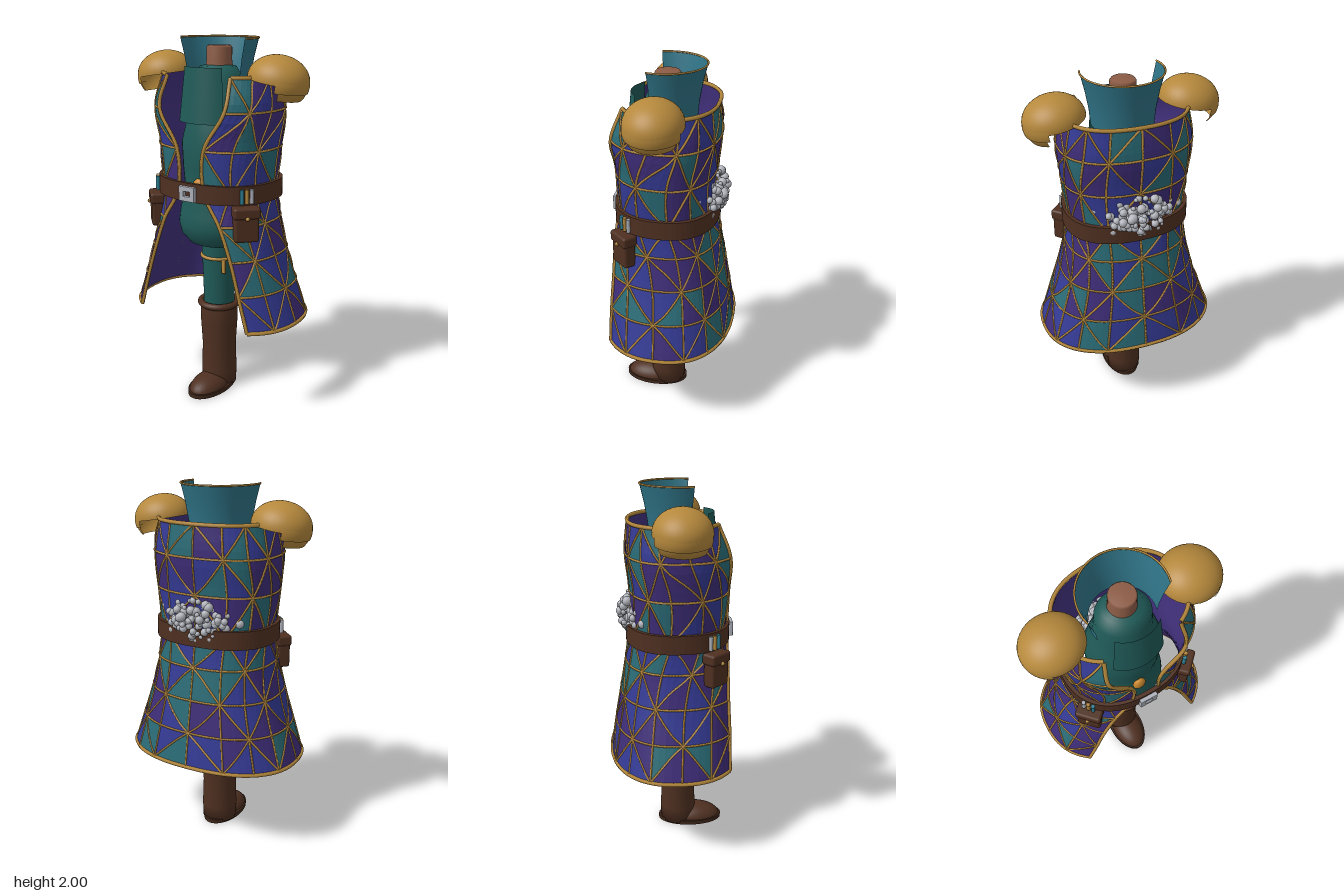
import * as THREE from 'three';
import { mergeGeometries } from 'three/addons/utils/BufferGeometryUtils.js';
import { RoundedBoxGeometry } from 'three/addons/geometries/RoundedBoxGeometry.js';

const mat = (color, side = THREE.FrontSide) => new THREE.MeshStandardMaterial({ color, side });
const GOLD = mat(0xb5883c), BROWN = mat(0x4f3021), DARK = mat(0x3f271a), TEAL = mat(0x1f5a57);
const SKIN = mat(0x8c5c46), SILVER = mat(0xaeb1ba), VIAL = mat(0x2f8094), LINING = mat(0x43327f);
const COLLAR = mat(0x2f7386, THREE.DoubleSide), BIB = mat(0x1f5a57, THREE.DoubleSide);
const PADS = mat(0xb5883c, THREE.DoubleSide);
const PANES = [mat(0x3e2d78), mat(0x343a94), mat(0x2a6b76)];
const V = (x, y, z) => new THREE.Vector3(x, y, z);

function seeded(seed) {
  return () => {
    seed = (seed * 16807) % 2147483647;
    return seed / 2147483647;
  };
}

function add(parent, name, geometry, material, x = 0, y = 0, z = 0) {
  const mesh = new THREE.Mesh(geometry, material);
  mesh.name = name;
  mesh.position.set(x, y, z);
  parent.add(mesh);
  return mesh;
}

const lathe = (pts, ...arc) => new THREE.LatheGeometry(pts.map(p => new THREE.Vector2(...p)), 40, ...arc);
const tube = (pts, r, sides = 6) =>
  new THREE.TubeGeometry(new THREE.CatmullRomCurve3(pts), pts.length * 2, r, sides);

// Squarish oval: angle 0 is the back, PI the front
const POWER = 0.86, MID = 0.02;
function oval(a, w, zb, zf) {
  const c = Math.cos(a), k = Math.pow(Math.abs(c), POWER);
  return [w * Math.sign(Math.sin(a)) * Math.pow(Math.abs(Math.sin(a)), POWER),
    MID + (c > 0 ? (zb - MID) * k : (zf - MID) * k)];
}

// Coat rings from hem to shoulder: y, half width, back z, front z, half opening
const RINGS = [
  [0.50, 0.500, -0.34, 0.305, 0.36], [0.69, 0.435, -0.31, 0.305, 0.305], [0.87, 0.375, -0.28, 0.30, 0.25],
  [1.05, 0.335, -0.25, 0.30, 0.18], [1.22, 0.320, -0.23, 0.30, 0.085], [1.44, 0.340, -0.225, 0.305, 0.085],
  [1.64, 0.355, -0.245, 0.295, 0.205], [1.81, 0.325, -0.23, 0.23, 0.20]];
const ROWS = RINGS.length - 1, COLS = 12;
const ringA = new THREE.CatmullRomCurve3(RINGS.map(r => V(r[1], r[0], r[4])), false, 'catmullrom');
const ringB = new THREE.CatmullRomCurve3(RINGS.map(r => V(r[2], r[0], r[3])), false, 'catmullrom');

// Coat surface: col 0..COLS runs round the back, row 0..ROWS runs upwards
function coatPoint(col, row, inset = 0) {
  const A = ringA.getPoint(row / ROWS), B = ringB.getPoint(row / ROWS);
  const aMax = Math.PI - Math.asin(Math.pow(A.z / A.x, 1 / POWER));
  const front = MID + (B.z - MID) / Math.pow(Math.abs(Math.cos(aMax)), POWER);
  const [x, z] = oval((col / COLS * 2 - 1) * aMax, A.x - inset, B.x + inset, front - inset);
  return V(x, A.y, z);
}

// Curved triangle on the coat, subdivided n times
function pane(a, b, c, n = 4) {
  const pos = [];
  const at = (i, j) => {
    const k = n - i - j, mix = d => (a[d] * k + b[d] * i + c[d] * j) / n;
    pos.push(...coatPoint(mix(0), mix(1)).toArray());
  };
  for (let i = 0; i < n; i++) for (let j = 0; j < n - i; j++) {
    at(i, j); at(i + 1, j); at(i, j + 1);
    if (i + j < n - 1) { at(i + 1, j); at(i + 1, j + 1); at(i, j + 1); }
  }
  const g = new THREE.BufferGeometry();
  g.setAttribute('position', new THREE.Float32BufferAttribute(pos, 3));
  g.computeVertexNormals();
  return g;
}

function seam(a, b, r, steps = 4) {
  const pts = [];
  for (let i = 0; i <= steps; i++) {
    const t = i / steps;
    pts.push(coatPoint(a[0] + (b[0] - a[0]) * t, a[1] + (b[1] - a[1]) * t));
  }
  return tube(pts, r, 5);
}

function buildCoat() {
  const coat = new THREE.Group();
  coat.name = 'coat';
  const sets = [[], [], []], seams = [], rand = seeded(77);
  const pick = () => { const r = rand(); return r < 0.4 ? 0 : r < 0.72 ? 1 : 2; };
  for (let i = 0; i < COLS; i++) for (let j = 0; j < ROWS; j++) {
    const p = [i, j], q = [i + 1, j], r = [i + 1, j + 1], s = [i, j + 1];
    // columns run from the right front round the back to the left front
    const tris = (i + j) % 2 ? [[p, r, q], [p, s, r]] : [[p, s, q], [q, s, r]];
    tris.forEach(t => sets[pick()].push(pane(t[0], t[2], t[1])));
    seams.push((i + j) % 2 ? seam(p, r, 0.006) : seam(q, s, 0.006));
    if (j) seams.push(seam(p, q, 0.006));
    if (i) seams.push(seam(p, s, 0.006));
  }
  // the panes are wound so that they face outwards
  const names = ['purplePanes', 'bluePanes', 'tealPanes'];
  sets.forEach((g, k) => add(coat, names[k], faceOut(mergeGeometries(g), 1), PANES[k]));
  add(coat, 'goldSeams', mergeGeometries(seams), GOLD);

  // Lining just inside the panes
  const NU = 48, NV = 28, pos = [], idx = [];
  for (let j = 0; j <= NV; j++) for (let i = 0; i <= NU; i++)
    pos.push(...coatPoint(i / NU * COLS, j / NV * ROWS, 0.006).toArray());
  for (let j = 0; j < NV; j++) for (let i = 0; i < NU; i++) {
    const a = j * (NU + 1) + i, b = a + NU + 1;
    idx.push(a, a + 1, b, a + 1, b + 1, b);
  }
  let lining = new THREE.BufferGeometry();
  lining.setAttribute('position', new THREE.Float32BufferAttribute(pos, 3));
  lining.setIndex(idx);
  lining = faceOut(lining, -1);
  add(coat, 'coatLining', lining, LINING);

  // Thicker gold trim round the border
  const trim = [[[0, 0], [COLS, 0]], [[0, ROWS], [COLS, ROWS]], [[0, 0], [0, ROWS]], [[COLS, 0], [COLS, ROWS]]];
  add(coat, 'goldTrim', mergeGeometries(trim.map(([a, b]) => seam(a, b, 0.011, 36))), GOLD);
  return coat;
}

// Make a wall's triangles face away from (dir 1) or towards (dir -1) the vertical axis
function faceOut(g, dir) {
  const p = g.getAttribute('position');
  const order = g.index ? Array.from(g.index.array) : Array.from({ length: p.count }, (_, i) => i);
  const [a, b, c] = [0, 1, 2].map(k => new THREE.Vector3());
  for (let i = 0; i < order.length; i += 3) {
    [a, b, c].forEach((v, k) => v.fromBufferAttribute(p, order[i + k]));
    const n = b.clone().sub(a).cross(c.clone().sub(a));
    if ((n.x * a.x + n.z * (a.z - MID)) * dir < 0) [order[i + 1], order[i + 2]] = [order[i + 2], order[i + 1]];
  }
  g.setIndex(order);
  g.computeVertexNormals();
  return g;
}

function buildBelt() {
  const belt = new THREE.Group();
  belt.name = 'belt';
  const loop = off => Array.from({ length: 72 }, (_, i) => {
    const [x, z] = oval(i / 36 * Math.PI, 0.343 - off, -0.248 + off, 0.322 - off);
    return new THREE.Vector2(x, -z);
  });
  const shape = new THREE.Shape(loop(0));
  shape.holes.push(new THREE.Path(loop(0.022)));
  const strap = new THREE.ExtrudeGeometry(shape, { depth: 0.1, bevelEnabled: false });
  add(belt, 'beltStrap', strap.rotateX(-Math.PI / 2), BROWN, 0, 1.167, 0);
  // Square buckle
  const frame = new THREE.Shape([[-.045, -.035], [.045, -.035], [.045, .035], [-.045, .035]].map(p => new THREE.Vector2(...p)));
  frame.holes.push(new THREE.Path([[-.025, -.018], [-.025, .018], [.025, .018], [.025, -.018]].map(p => new THREE.Vector2(...p))));
  add(belt, 'buckle', new THREE.ExtrudeGeometry(frame, { depth: 0.014, bevelSize: 0.005, bevelThickness: 0.005, bevelSegments: 2 }), SILVER, 0, 1.212, 0.325);
  for (const s of [-1, 1]) {
    // Pouch with flap and stud
    const pouch = new THREE.Group();
    pouch.name = s > 0 ? 'leftPouch' : 'rightPouch';
    pouch.position.set(s * 0.295, 1.07, 0.225);
    pouch.rotation.y = s * 0.8;
    add(pouch, 'pouchBody', new RoundedBoxGeometry(0.13, 0.16, 0.07, 3, 0.014), BROWN, 0, -0.01, 0);
    add(pouch, 'pouchFlap', new RoundedBoxGeometry(0.142, 0.06, 0.084, 3, 0.014), BROWN, 0, 0.065, 0);
    add(pouch, 'pouchStud', new THREE.SphereGeometry(0.011, 12, 8), GOLD, 0, 0.04, 0.043);
    belt.add(pouch);
    // Small vials tucked in the belt
    [VIAL, GOLD, SILVER].forEach((m, i) => {
      const [x, z] = oval(Math.PI - s * (0.86 + i * 0.09), 0.352, -0.25, 0.332);
      add(belt, 'vial', new THREE.CylinderGeometry(0.011, 0.011, 0.075, 10), m, x, 1.215, z);
    });
  }
  return belt;
}

// Domed shoulder guard with two overlapping plates on its outer side
function buildShoulder(s) {
  const g = new THREE.Group();
  g.name = s > 0 ? 'leftShoulderGuard' : 'rightShoulderGuard';
  g.position.set(s * 0.362, 1.795, 0.04);
  g.rotation.z = -s * 0.16;
  add(g, 'dome', new THREE.SphereGeometry(1, 36, 14, 0, Math.PI * 2, 0, 1.62), PADS).scale.set(0.162, 0.125, 0.152);
  [[0.163, 1.4, 0.4], [0.157, 1.72, 0.4]].forEach(([r, start, len], i) => {
    const from = (s > 0 ? Math.PI : 0) - 1.15 + i * 0.12;
    const plate = add(g, 'plate', new THREE.SphereGeometry(1, 24, 5, from, 2.3 - i * 0.24, start, len), PADS, 0, -0.012, 0);
    plate.scale.set(r, 0.135, r - 0.008);
  });
  return g;
}

export function createModel() {
  const model = new THREE.Group();
  model.name = 'armouredCoatFigure';
  model.add(buildCoat(), buildBelt(), buildShoulder(1), buildShoulder(-1));

  // Body, neck and chest panel
  add(model, 'torso', lathe([[0, .86], [.08, .865], [.17, .89], [.215, .94], [.228, 1], [.22, 1.06], [.19, 1.2], [.2, 1.32],
    [.205, 1.45], [.175, 1.57], [.15, 1.66], [.14, 1.78], [.1, 1.85], [0, 1.87]]), TEAL, 0, 0, 0.05).scale.z = 0.9;
  add(model, 'neck', lathe([[.078, 1.8], [.068, 1.88], [.068, 1.945], [.06, 1.956], [0, 1.957]]), SKIN, 0, 0, 0.04);
  add(model, 'chestPanel', new THREE.CylinderGeometry(0.18, 0.212, 0.285, 20, 1, true, -0.72, 1.44), BIB, 0, 1.71, 0.05);
  add(model, 'waistGem', new THREE.SphereGeometry(1, 20, 14), mat(0xc8862c), 0, 1.225, 0.235).scale.set(0.036, 0.05, 0.022);

  // Standing collar, open at the front, with a gold rim
  const start = 1.29, span = Math.PI * 2 - start * 2;
  add(model, 'collar', lathe([[.165, 1.72], [.172, 1.8], [.19, 1.9], [.213, 1.995]], start, span), COLLAR, 0, 0, 0.05);
  const rim = Array.from({ length: 33 }, (_, i) => {
    const a = start + span * i / 32;
    return V(0.213 * Math.sin(a), 1.995, 0.213 * Math.cos(a));
  });
  add(model, 'collarRim', tube(rim, 0.005), GOLD, 0, 0, 0.05);

  // Single leg with strap, and boot
  add(model, 'leg', lathe([[.088, .5], [.09, .65], [.096, .8], [.1, .92]]), TEAL, 0, 0, 0.045);
  add(model, 'legStrap', new THREE.TorusGeometry(0.098, 0.01, 8, 36).rotateX(Math.PI / 2), GOLD, 0, 0.8, 0.045);
  add(model, 'strapEnd', new RoundedBoxGeometry(0.025, 0.08, 0.014, 2, 0.005), GOLD, 0.08, 0.76, 0.115);
  add(model, 'bootShaft', lathe([[0, .01], [.1, .01], [.102, .1], [.097, .25], [.106, .4], [.107, .52], [.088, .525]]), BROWN, 0, 0, 0.045);
  add(model, 'bootCuff', new THREE.TorusGeometry(0.105, 0.019, 10, 40).rotateX(Math.PI / 2), BROWN, 0, 0.513, 0.045);
  add(model, 'bootToe', new THREE.SphereGeometry(1, 28, 10, 0, Math.PI * 2, 0, Math.PI / 2), BROWN, 0, 0.015, 0.14).scale.set(0.096, 0.077, 0.155);
  add(model, 'bootSole', new THREE.CylinderGeometry(1, 1, 0.024, 40), DARK, 0, 0.012, 0.118).scale.set(0.106, 1, 0.187);

  // Heap of pale pebbles across the back of the waist
  const rand = seeded(4211), pebbles = [];
  while (pebbles.length < 300) {
    const [x, y, z] = [0, 0, 0].map(() => rand() * 2 - 1);
    if (x * x + y * y + z * z > 1) continue;
    const r = 0.011 + rand() * 0.016, px = x * 0.245;
    pebbles.push(new THREE.SphereGeometry(r, 10, 7).translate(px, 1.31 + y * 0.115, -0.2 + px * px * 1.3 + z * 0.085));
  }
  add(model, 'pebbles', mergeGeometries(pebbles), mat(0xb4b7be));
  return model;
}
